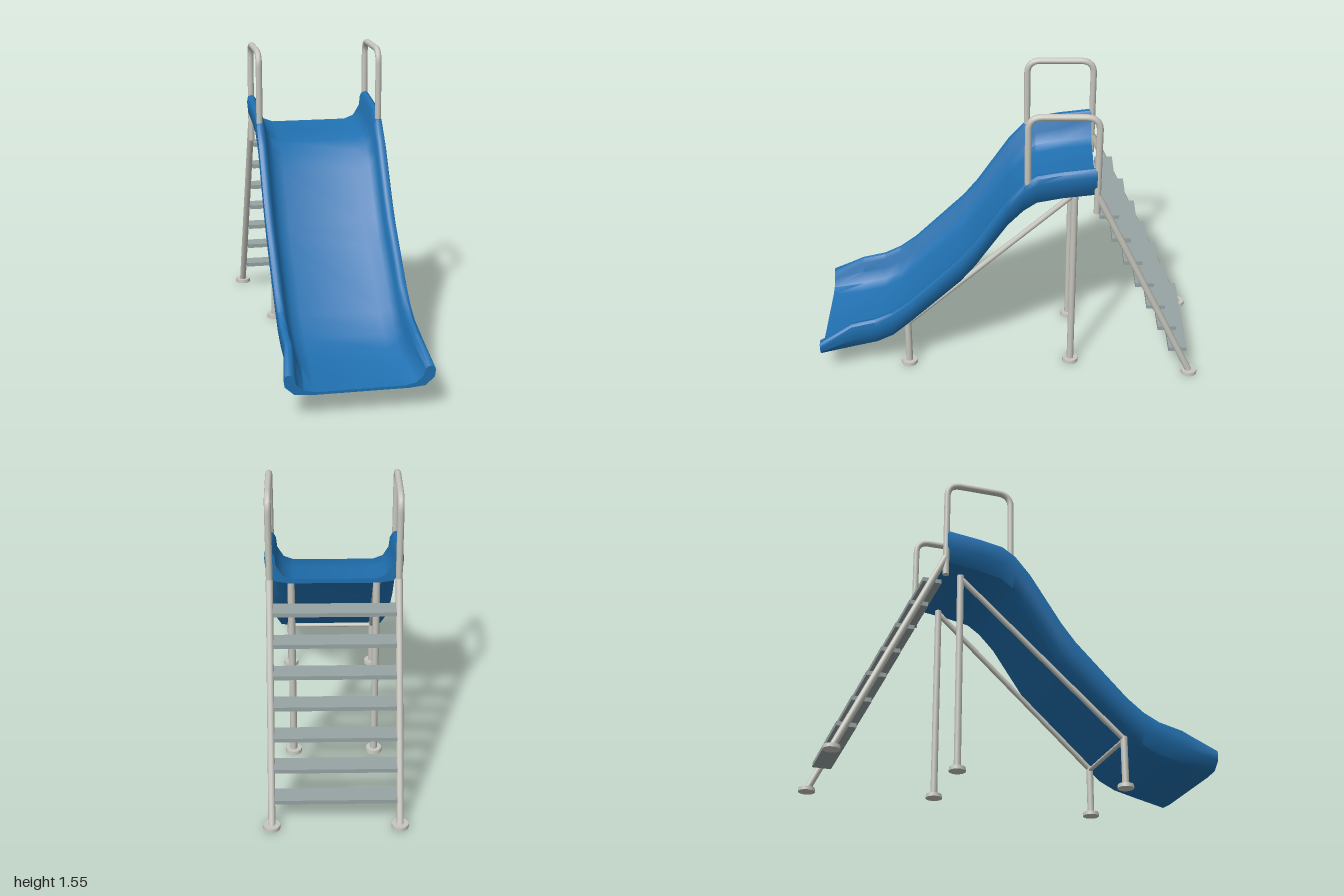
import * as THREE from 'three';
import { toCreasedNormals } from 'three/addons/utils/BufferGeometryUtils.js';

const steel = new THREE.MeshStandardMaterial({ color: 0xc6c6be });
const plate = new THREE.MeshStandardMaterial({ color: 0x98a3a3 });
const blue = new THREE.MeshStandardMaterial({ color: 0x2070b0 });
const V = (x, y, z) => new THREE.Vector3(x, y, z);

function add(parent, name, geometry, material) {
  const mesh = new THREE.Mesh(geometry, material);
  mesh.name = name;
  parent.add(mesh);
  return mesh;
}

// Straight round bar between two points
function bar(parent, name, a, b, r) {
  const mesh = add(parent, name, new THREE.CylinderGeometry(r, r, a.distanceTo(b), 12), steel);
  mesh.position.copy(a).lerp(b, 0.5);
  mesh.quaternion.setFromUnitVectors(V(0, 1, 0), b.clone().sub(a).normalize());
  return mesh;
}

function foot(parent, x, z) {
  add(parent, 'foot', new THREE.CylinderGeometry(0.041, 0.043, 0.02, 12), steel).position.set(x, 0.01, z);
}

// Chute: a closed trough section swept along the stations [z, underside y, rim y]
function chuteGeometry() {
  const stations = [
    [1, 0.11, 0.215], [0.83, 0.135, 0.312], [0.705, 0.167, 0.343], [0.617, 0.211, 0.387],
    [0.525, 0.295, 0.458], [0.255, 0.556, 0.728], [0.178, 0.652, 0.825], [0.012, 0.898, 1.075],
    [-0.068, 0.983, 1.168], [-0.134, 1.03, 1.21], [-0.26, 1.056, 1.233], [-0.428, 1.077, 1.254],
  ];
  // Half section: x and fraction of the height, from inner floor over the rim to the underside
  const half = [
    [0.2, 0.13], [0.25, 0.24], [0.283, 0.55], [0.289, 0.86], [0.303, 0.98], [0.318, 1],
    [0.332, 0.94], [0.337, 0.78], [0.332, 0.45], [0.29, 0.07], [0.22, 0],
  ];
  const ring = [...half, ...half.map(([x, y]) => [-x, y]).reverse()];
  const n = ring.length;
  const positions = [], index = [];
  stations.forEach(([z, low, high], i) => {
    const flare = i === 0 ? 1.077 : 1;
    for (const [x, y] of ring) positions.push(x * flare, low + (high - low) * y, z);
    if (i === 0) return;
    for (let j = 0; j < n; j++) {
      const k = (j + 1) % n, a = (i - 1) * n, b = i * n;
      index.push(a + j, a + k, b + j, a + k, b + k, b + j);
    }
  });
  // End caps, front one facing +z and rear one facing -z
  const contour = ring.map(([x, y]) => new THREE.Vector2(x, y));
  const last = (stations.length - 1) * n;
  for (const [a, b, c] of THREE.ShapeUtils.triangulateShape(contour, [])) {
    const ccw = THREE.ShapeUtils.area([contour[a], contour[b], contour[c]]) > 0;
    const [p, q] = ccw ? [b, c] : [c, b];
    index.push(a, p, q, last + a, last + q, last + p);
  }
  const geometry = new THREE.BufferGeometry();
  geometry.setAttribute('position', new THREE.Float32BufferAttribute(positions, 3));
  geometry.setIndex(index);
  return toCreasedNormals(geometry, 0.75);
}

// Bent handrail loop on one side
function handrail(parent, x) {
  const front = -0.088, back = -0.432, top = 1.532, bend = 0.07;
  const path = new THREE.CurvePath();
  path.add(new THREE.LineCurve3(V(x, 1.14, front), V(x, top - bend, front)));
  path.add(new THREE.QuadraticBezierCurve3(V(x, top - bend, front), V(x, top, front), V(x, top, front - bend)));
  path.add(new THREE.LineCurve3(V(x, top, front - bend), V(x, top, back + bend)));
  path.add(new THREE.QuadraticBezierCurve3(V(x, top, back + bend), V(x, top, back), V(x, top - bend, back)));
  path.add(new THREE.LineCurve3(V(x, top - bend, back), V(x, 1.0, back)));
  add(parent, 'handrail', new THREE.TubeGeometry(path, 64, 0.0165, 12), steel);
  const cap = add(parent, 'handrailEnd', new THREE.CircleGeometry(0.0165, 12), steel);
  cap.rotation.x = Math.PI / 2;
  cap.position.set(x, 1.0, back);
}

export function createModel() {
  const model = new THREE.Group();
  model.name = 'playgroundSlide';
  add(model, 'chute', chuteGeometry(), blue);

  const ladder = new THREE.Group();
  ladder.name = 'ladder';
  const frame = new THREE.Group();
  frame.name = 'supportFrame';
  model.add(ladder, frame);

  for (const s of [-1, 1]) {
    handrail(model, s * 0.315);

    // Ladder side
    bar(ladder, 'ladderStile', V(s * 0.315, 1.1, -0.434), V(s * 0.315, 0.01, -0.957), 0.0175);
    foot(ladder, s * 0.315, -0.957);

    // Tall rear leg, short front leg and the brace joining them
    bar(frame, 'rearLeg', V(s * 0.212, 0, -0.325), V(s * 0.212, 1.064, -0.325), 0.018);
    foot(frame, s * 0.212, -0.325);
    bar(frame, 'frontLeg', V(s * 0.235, 0, 0.542), V(s * 0.235, 0.275, 0.542), 0.018);
    foot(frame, s * 0.235, 0.542);
    bar(frame, 'brace', V(s * 0.212, 1.05, -0.325), V(s * 0.235, 0.263, 0.542), 0.0145);
  }
  bar(frame, 'crossbar', V(-0.235, 0.258, 0.542), V(0.235, 0.258, 0.542), 0.012);

  // Ladder steps
  for (let i = 0; i < 7; i++) {
    const t = i / 6;
    const step = add(ladder, 'step', new THREE.BoxGeometry(0.6, 0.022, 0.096), plate);
    step.position.set(0, 0.965 - 0.826 * t, -0.497 - 0.394 * t);
  }
  return model;
}
